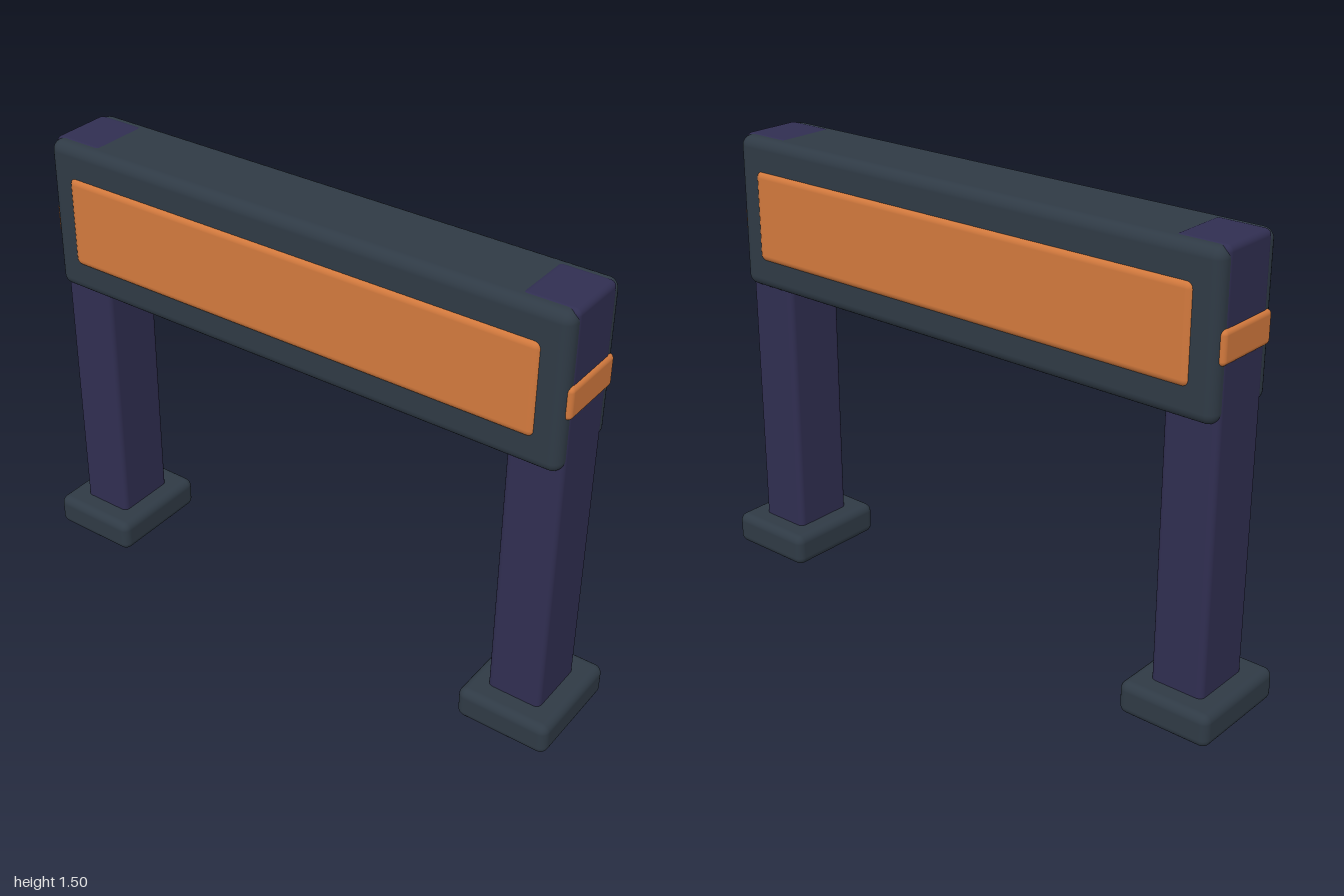
import * as THREE from 'three';
import { RoundedBoxGeometry } from 'three/addons/geometries/RoundedBoxGeometry.js';

const slate = new THREE.MeshStandardMaterial({ name: 'slate', color: 0x2f3a45 });
const indigo = new THREE.MeshStandardMaterial({ name: 'indigo', color: 0x302e51 });
const orange = new THREE.MeshStandardMaterial({ name: 'orange', color: 0xd2793d });

// Rounded box given by its size, centre and edge radius
function block(name, material, [w, h, d], [x, y, z], radius) {
  const mesh = new THREE.Mesh(new RoundedBoxGeometry(w, h, d, 4, radius), material);
  mesh.name = name;
  mesh.position.set(x, y, z);
  return mesh;
}

export function createModel() {
  const model = new THREE.Group();
  model.name = 'barrier';

  // Crossbeam
  model.add(block('beam', slate, [1.86, 0.51, 0.28], [0, 1.242, 0], 0.035));

  // Raised panels on the front and back of the beam
  for (const side of [1, -1]) {
    const label = side > 0 ? 'front' : 'back';
    model.add(block(label + 'Panel', orange, [1.7, 0.31, 0.06], [0, 1.24, side * 0.12], 0.025));
  }

  // Posts with feet and end bands, mirrored left and right
  for (const side of [1, -1]) {
    const label = side > 0 ? 'left' : 'right';
    model.add(block(label + 'Foot', slate, [0.316, 0.11, 0.37], [side * 0.842, 0.055, 0], 0.028));
    model.add(block(label + 'Post', indigo, [0.183, 1.45, 0.22], [side * 0.84, 0.774, 0], 0.02));
    model.add(block(label + 'Band', orange, [0.06, 0.106, 0.24], [side * 0.912, 1.216, 0], 0.016));
  }
  return model;
}
